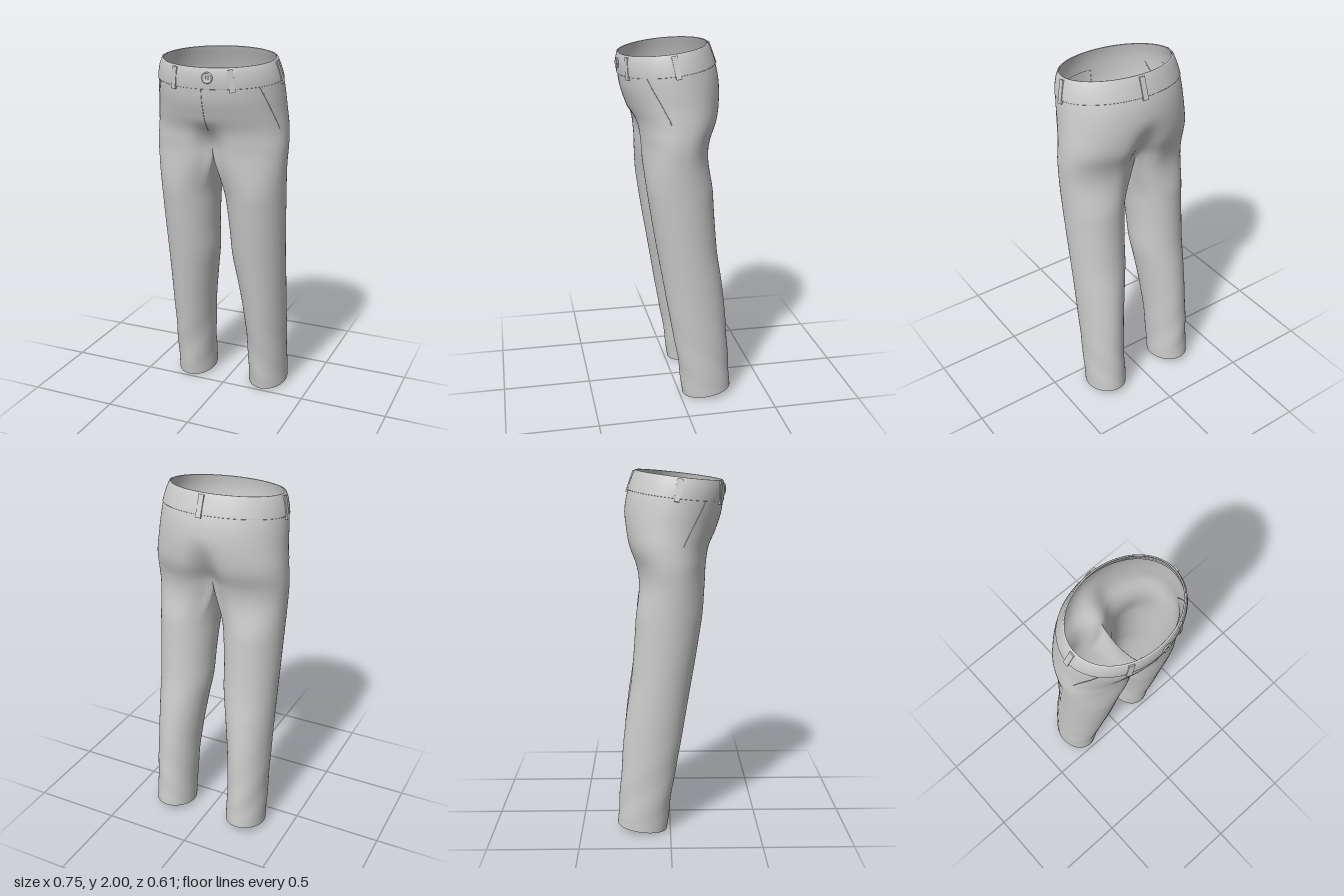
import * as THREE from 'three';
import { mergeGeometries, mergeVertices } from 'three/addons/utils/BufferGeometryUtils.js';

// Height, outer x, front z, back z, inner-leg x
const PROFILE = [
  [0.02, 0.347, -0.02, -0.298, 0.12], [0.25, 0.347, 0.012, -0.281, 0.118],
  [0.5, 0.348, 0.057, -0.263, 0.102], [0.7, 0.351, 0.09, -0.24, 0.075],
  [0.85, 0.354, 0.115, -0.217, 0.052], [1.0, 0.358, 0.14, -0.202, 0.045],
  [1.2, 0.364, 0.17, -0.188, 0.03], [1.4, 0.372, 0.2, -0.18, 0.012],
  [1.5, 0.377, 0.208, -0.198, 0], [1.6, 0.372, 0.222, -0.236, 0],
  [1.7, 0.362, 0.255, -0.25, 0], [1.8, 0.355, 0.283, -0.243, 0],
  [1.87, 0.347, 0.293, -0.225, 0], [1.93, 0.333, 0.298, -0.204, 0],
  [1.973, 0.317, 0.291, -0.187, 0],
];
const spline = new THREE.CubicInterpolant(
  PROFILE.map((r) => r[0]), PROFILE.flatMap((r) => r.slice(1)), 4);
const { lerp, smoothstep } = THREE.MathUtils;
const CROTCH = 1.5, SEAM = 1.865, RIM = 1.973, HEM = 0.02;
const OUTER = 48, INNER = 20, SPREAD = Math.PI / 4;

function measure(y) {
  const [xo, zf, zb, xi] = spline.evaluate(y);
  return { xo, xi, zc: (zf + zb) / 2, d: (zf - zb) / 2, cx: (xo + xi) / 2, hw: (xo - xi) / 2 };
}

// Waist and hem planes lean down towards the front
function tilted(x, y, z, zc) {
  const lean = 0.115 * smoothstep(y, 1.5, 1.85) + 0.14 * (1 - smoothstep(y, 0.02, 0.4));
  return new THREE.Vector3(x, y - lean * (z - zc), z);
}

// Hip section: angle 0 is the front centre, PI the back centre
function hipXZ(y, t) {
  const m = measure(y), c = Math.cos(t);
  const square = lerp(0.85, 1, smoothstep(y, 1.5, 1.85));
  const x = m.xo * Math.sin(t);
  const dent = (c > 0 ? 0.3 : 0.36) * (1 - smoothstep(y, 1.48, c > 0 ? 1.68 : 1.76));
  const z = m.zc + m.d * Math.sign(c) * Math.abs(c) ** square * (1 - dent * Math.exp(-((x / 0.075) ** 2)));
  return [x, z];
}

function hipPoint(y, t, off = 0) {
  const [x, z] = hipXZ(y, t);
  return tilted(x + off * Math.sin(t), y, z + off * Math.cos(t), measure(y).zc);
}

function legXZ(m, y, t) {
  // Soft diagonal folds near the hem
  const fold = 1 + 0.018 * Math.sin(3 * t + 22 * y) * (1 - smoothstep(y, 0.1, 0.6)) * smoothstep(y, 0.02, 0.15);
  return [m.cx + m.hw * Math.sin(t) * Math.min(fold, 1.01), m.zc + m.d * Math.cos(t) * fold];
}

// Leg ring: the outer hip curve melts into an ellipse, the inner part starts at the crotch seam
function legRing(y) {
  const m = measure(y), k = 1 - smoothstep(y, 1.2, CROTCH), row = [];
  for (let i = 0; i <= OUTER; i++) {
    const s = i / OUTER, h = hipXZ(y, s * Math.PI);
    const l = legXZ(m, y, lerp(-SPREAD, Math.PI + SPREAD, s));
    row.push(tilted(lerp(h[0], l[0], k), y, lerp(h[1], l[1], k), m.zc));
  }
  const back = hipXZ(y, Math.PI)[1], front = hipXZ(y, 0)[1];
  for (let i = 1; i <= INNER; i++) {
    const u = i / INNER;
    const l = legXZ(m, y, lerp(Math.PI + SPREAD, 2 * Math.PI - SPREAD, u));
    const p = tilted(l[0] * k, y, lerp(lerp(back, front, u), l[1], k), m.zc);
    p.y -= 0.065 * Math.sin(Math.PI * u) * smoothstep(y, 1.0, CROTCH);
    row.push(p);
  }
  return row;
}

// Skin over rows of points; mirrored copies flip x and winding
function skin(rows, mirror = false) {
  const n = rows[0].length, index = [], sx = mirror ? -1 : 1;
  for (let i = 0; i < rows.length - 1; i++) {
    for (let j = 0; j < n - 1; j++) {
      const a = i * n + j, b = a + 1, c = a + n, d = c + 1;
      if (mirror) index.push(a, b, c, b, d, c);
      else index.push(a, c, b, b, c, d);
    }
  }
  const g = new THREE.BufferGeometry();
  g.setAttribute('position', new THREE.Float32BufferAttribute(rows.flat().flatMap((p) => [p.x * sx, p.y, p.z]), 3));
  g.setIndex(index);
  return g;
}

function weld(parts) {
  const g = mergeVertices(mergeGeometries(parts), 1e-5);
  g.computeVertexNormals();
  return g;
}

const range = (n, f) => Array.from({ length: n + 1 }, (_, i) => f(i / n));

export function createModel() {
  const group = new THREE.Group();
  const cloth = new THREE.MeshStandardMaterial({ color: 0xcccccc, side: THREE.DoubleSide });
  const add = (name, geometry, parent = group) => {
    const mesh = new THREE.Mesh(geometry, cloth);
    mesh.name = name;
    parent.add(mesh);
    return mesh;
  };

  // Seat and both legs as one welded cloth
  const hips = range(28, (v) => range(OUTER, (s) => hipPoint(lerp(SEAM + 0.005, CROTCH, v), s * Math.PI)));
  const leg = range(80, (v) => legRing(lerp(CROTCH, HEM, v)));
  add('seatAndLegs', weld([skin(hips), skin(hips, true), skin(leg), skin(leg, true)]));

  // Waistband with thickness: up the inside, over the rim, down the outside
  const bandProfile = [[SEAM, -0.006], [1.9, -0.006], [1.94, -0.006], [1.97, -0.006], [RIM, -0.004],
    [RIM, 0.001], [1.97, 0.003], [1.94, 0.004], [1.9, 0.004], [SEAM + 0.002, 0.004], [SEAM, 0.003], [SEAM, -0.002]];
  const band = bandProfile.map(([y, off]) => range(96, (s) => hipPoint(y, s * 2 * Math.PI, off)));
  add('waistband', weld([skin(band)]));

  // Belt loops
  const loops = new THREE.Group();
  loops.name = 'beltLoops';
  group.add(loops);
  for (const t of [0.49, -0.49, 1.57, -1.57, Math.PI - 0.06]) {
    const top = hipPoint(1.965, t, 0.006), bottom = hipPoint(1.85, t, 0.006);
    const up = top.clone().sub(bottom), length = up.length();
    up.normalize();
    const side = hipPoint(1.91, t + 0.05).sub(hipPoint(1.91, t - 0.05));
    side.addScaledVector(up, -side.dot(up)).normalize();
    const loop = add('beltLoop', new THREE.BoxGeometry(0.03, length, 0.01), loops);
    loop.quaternion.setFromRotationMatrix(
      new THREE.Matrix4().makeBasis(side, up, new THREE.Vector3().crossVectors(side, up)));
    loop.position.copy(top).add(bottom).multiplyScalar(0.5);
  }

  // Button with a raised rim and four thread knots
  const button = new THREE.Group();
  button.name = 'button';
  button.position.copy(hipPoint(1.925, 0.12, 0.003));
  button.rotation.y = 0.08;
  group.add(button);
  const disc = [[0, 0], [0.028, 0], [0.03, 0.004], [0.027, 0.009], [0.023, 0.009], [0.02, 0.005], [0, 0.005]];
  add('buttonDisc', new THREE.LatheGeometry(disc.map(([r, h]) => new THREE.Vector2(r, h)), 32), button)
    .rotation.x = Math.PI / 2;
  for (const x of [-1, 1]) for (const y of [-1, 1]) {
    add('buttonThread', new THREE.SphereGeometry(0.003, 8, 6), button).position.set(x * 0.006, y * 0.006, 0.005);
  }

  // Fly and slanted pocket seams
  const seam = (name, y0, t0, y1, t1) => {
    const path = new THREE.CatmullRomCurve3(range(8, (u) => hipPoint(lerp(y0, y1, u), lerp(t0, t1, u))));
    add(name, new THREE.TubeGeometry(path, 24, 0.002, 6));
  };
  seam('flySeam', SEAM, 0, 1.6, 0);
  seam('leftPocketSeam', SEAM, 0.95, 1.62, 1.29);
  seam('rightPocketSeam', SEAM, -0.95, 1.62, -1.29);

  return group;
}
